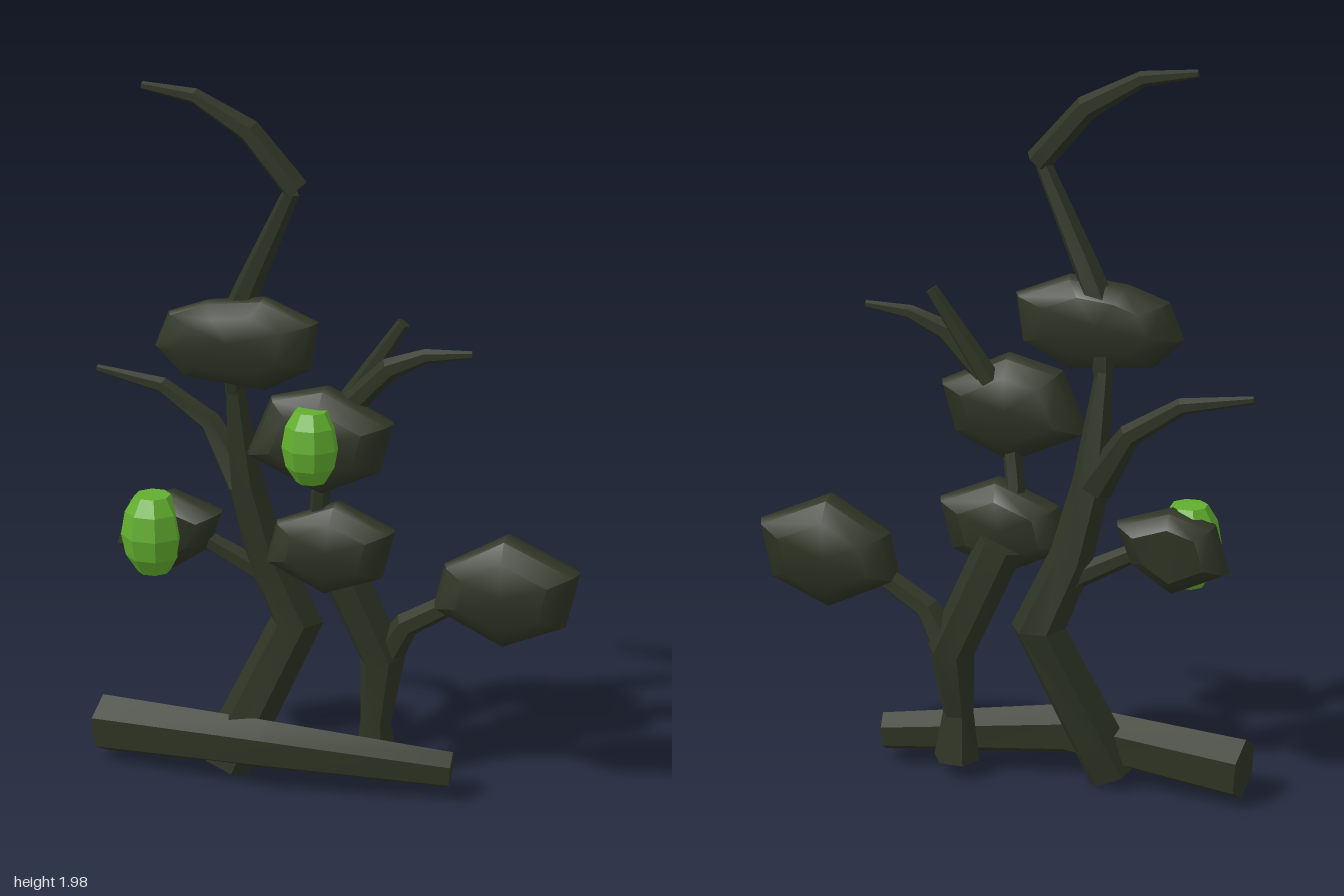
import * as THREE from 'three';
import { toCreasedNormals } from 'three/addons/utils/BufferGeometryUtils.js';

// Closed skin through rings of points (counter-clockwise around the direction of travel)
function loft(rings) {
  const n = rings[0].length, pos = [], idx = [];
  rings.forEach(r => r.forEach(p => pos.push(p.x, p.y, p.z)));
  const centre = r => r.reduce((s, p) => s.add(p), new THREE.Vector3()).divideScalar(n);
  const c0 = centre(rings[0]), c1 = centre(rings[rings.length - 1]);
  const a = pos.length / 3, last = (rings.length - 1) * n;
  pos.push(c0.x, c0.y, c0.z, c1.x, c1.y, c1.z);
  for (let j = 0; j < n; j++) {
    const k = (j + 1) % n;
    for (let i = 0; i < rings.length - 1; i++) {
      const p = i * n, q = p + n;
      idx.push(p + j, p + k, q + j, p + k, q + k, q + j);
    }
    idx.push(a, k, j, a + 1, last + j, last + k);
  }
  const g = new THREE.BufferGeometry();
  g.setAttribute('position', new THREE.Float32BufferAttribute(pos, 3));
  g.setIndex(idx);
  return g;
}

// Faceted limb through [x, y, z, radius] points
function limb(path, sides = 6) {
  const pts = path.map(p => new THREE.Vector3(p[0], p[1], p[2]));
  const rings = pts.map((p, i) => {
    const t = new THREE.Vector3();
    if (i > 0) t.add(p.clone().sub(pts[i - 1]).normalize());
    if (i < pts.length - 1) t.add(pts[i + 1].clone().sub(p).normalize());
    t.normalize();
    const v = new THREE.Vector3(0, 0, 1).addScaledVector(t, -t.z).normalize();
    const u = v.clone().cross(t);
    return Array.from({ length: sides }, (_, j) => {
      const ang = (j / sides) * Math.PI * 2;
      return p.clone().addScaledVector(u, Math.cos(ang) * path[i][3]).addScaledVector(v, Math.sin(ang) * path[i][3]);
    });
  });
  return toCreasedNormals(loft(rings), 0.3);
}

// Plump leaf pad from a clockwise outline, thickest in the middle
function pad(outline, z, depth) {
  const pts = [...outline].reverse();
  const cx = pts.reduce((s, p) => s + p[0], 0) / pts.length;
  const cy = pts.reduce((s, p) => s + p[1], 0) / pts.length;
  const layers = [[0.62, -1], [0.93, -0.45], [1, 0.1], [0.93, 0.5], [0.62, 1]];
  return toCreasedNormals(loft(layers.map(([s, d]) => pts.map(p =>
    new THREE.Vector3(cx + (p[0] - cx) * s, cy + (p[1] - cy) * s, z + d * depth)))), 0.75);
}

export function createModel() {
  const group = new THREE.Group();
  const bark = new THREE.MeshStandardMaterial({ color: 0x2e3424 });
  bark.name = 'dark bark green';
  const lime = new THREE.MeshStandardMaterial({ color: 0x62ae2e });
  lime.name = 'bright fruit green';
  const add = (name, geometry, material = bark) => {
    const m = new THREE.Mesh(geometry, material);
    m.name = name;
    group.add(m);
    return m;
  };

  // Fallen log across the base
  add('log', limb([[-0.68, 0.11, -0.05, 0.087], [-0.17, 0.14, 0.025, 0.073], [0.345, 0.1, -0.04, 0.054]]));

  // Main trunk and its bent, hooked top
  add('mainTrunk', limb([[-0.31, 0.05, -0.02, 0.078], [-0.115, 0.48, -0.09, 0.076],
    [-0.2, 0.68, -0.07, 0.06], [-0.25, 0.89, -0.055, 0.052], [-0.275, 1.2, -0.03, 0.022]]));
  add('upperStem', limb([[-0.275, 1.15, -0.03, 0.024], [-0.26, 1.36, -0.01, 0.045],
    [-0.22, 1.46, 0, 0.036], [-0.095, 1.73, 0.015, 0.023]]));
  add('hookedTip', limb([[-0.08, 1.735, 0.015, 0.036], [-0.21, 1.885, 0.012, 0.033],
    [-0.36, 1.968, 0.01, 0.021], [-0.505, 1.988, 0.01, 0.011]]));

  // Second trunk with the thin stem between its pads
  add('secondTrunk', limb([[0.12, 0.065, -0.085, 0.065], [0.115, 0.2, -0.085, 0.044],
    [0.13, 0.39, -0.1, 0.066], [-0.005, 0.7, -0.075, 0.065]]));
  add('padStem', limb([[-0.01, 0.66, -0.05, 0.04], [-0.03, 0.85, -0.02, 0.028], [-0.01, 1.0, 0, 0.025]]));

  // Side branches
  const branches = {
    rightTwig: [[-0.26, 0.88, -0.06, 0.05], [-0.36, 1.04, -0.085, 0.032], [-0.5, 1.132, -0.09, 0.023], [-0.69, 1.165, -0.09, 0.01]],
    rightPadBranch: [[-0.13, 0.5, -0.08, 0.05], [-0.215, 0.625, -0.07, 0.034], [-0.38, 0.71, -0.06, 0.026]],
    leftPadBranch: [[0.13, 0.38, -0.1, 0.05], [0.2, 0.5, -0.09, 0.036], [0.36, 0.6, -0.08, 0.03]],
    leftTwig: [[0.04, 1.13, 0, 0.036], [0.17, 1.265, 0, 0.03], [0.27, 1.308, 0, 0.02], [0.395, 1.322, 0, 0.01]],
    straightTwig: [[0.04, 1.14, -0.02, 0.032], [0.2, 1.385, -0.03, 0.018]],
  };
  for (const [name, path] of Object.entries(branches)) add(name, limb(path));

  // Leaf pads
  add('leftPad', pad([[0.28, 0.57], [0.31, 0.7], [0.48, 0.8], [0.685, 0.71], [0.65, 0.55], [0.48, 0.475]], -0.08, 0.075));
  add('lowerPad', pad([[-0.18, 0.68], [-0.15, 0.8], [0.02, 0.87], [0.185, 0.8], [0.15, 0.66], [-0.01, 0.6]], -0.02, 0.065));
  add('middlePad', pad([[-0.22, 1.0], [-0.15, 1.17], [0, 1.21], [0.19, 1.12], [0.15, 0.98], [-0.01, 0.905]], 0.02, 0.07));
  add('upperPad', pad([[-0.48, 1.28], [-0.44, 1.38], [-0.33, 1.42], [-0.17, 1.44], [-0.02, 1.38], [-0.04, 1.25],
    [-0.17, 1.18], [-0.4, 1.2]], 0.012, 0.062));
  add('rightPad', pad([[-0.63, 0.67], [-0.59, 0.8], [-0.47, 0.84], [-0.32, 0.79], [-0.36, 0.68], [-0.48, 0.6]], -0.06, 0.065));

  // Eight-sided fruit
  const profile = [[0, -0.112], [0.046, -0.112], [0.078, -0.062], [0.09, 0], [0.078, 0.066], [0.05, 0.112], [0, 0.112]]
    .map(p => new THREE.Vector2(...p));
  const fruitGeometry = toCreasedNormals(new THREE.LatheGeometry(profile, 8, Math.PI / 8), 0.3);
  for (const [name, x, y, z, s] of [['rightFruit', -0.508, 0.725, -0.012, 1], ['middleFruit', -0.02, 1.06, 0.09, 0.89]]) {
    const fruit = add(name, fruitGeometry, lime);
    fruit.position.set(x, y, z);
    fruit.scale.setScalar(s);
  }
  return group;
}
